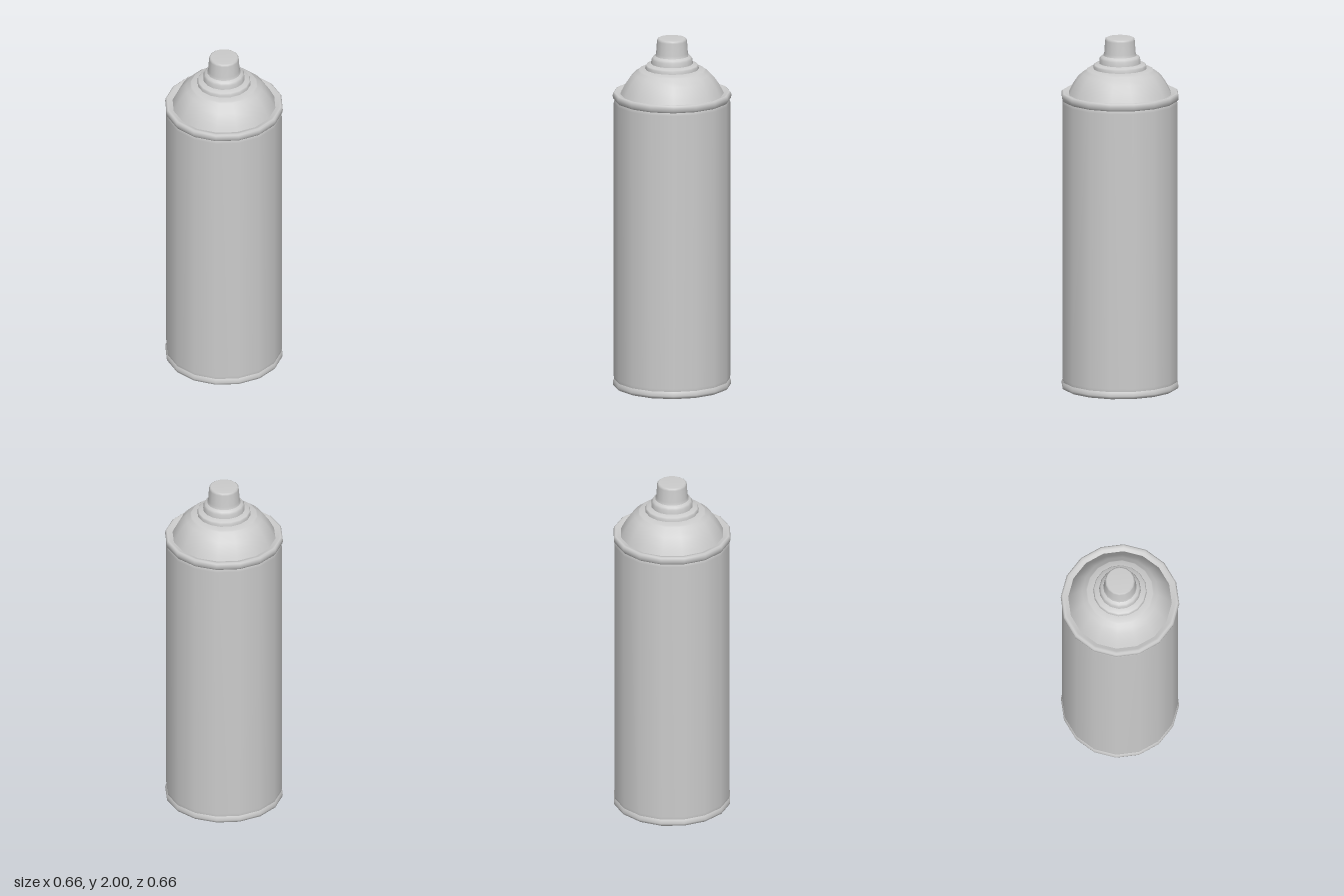
import * as THREE from 'three';

const SIDES = 16;
const material = new THREE.MeshStandardMaterial({ color: 0xcccccc });

// Turned part from [radius, height] pairs, listed so the surface faces outward
function turned(name, profile) {
  const points = profile.map(([r, y]) => new THREE.Vector2(r, y));
  const mesh = new THREE.Mesh(new THREE.LatheGeometry(points, SIDES), material);
  mesh.name = name;
  return mesh;
}

export function createModel() {
  const can = new THREE.Group();
  can.name = 'sprayCan';

  // Concave underside, from the centre out to the standing ring
  can.add(turned('base', [
    [0, 0.075], [0.1, 0.068], [0.2, 0.046], [0.27, 0.02], [0.305, 0.003], [0.318, 0],
  ]));

  // Rolled bottom seam
  can.add(turned('bottomRim', [
    [0.318, 0], [0.329, 0.007], [0.331, 0.018], [0.329, 0.032], [0.324, 0.042],
  ]));

  // Straight wall
  can.add(turned('body', [[0.324, 0.042], [0.326, 0.06], [0.326, 1.63], [0.322, 1.646]]));

  // Rolled top seam with a shallow gutter inside it
  can.add(turned('topRim', [
    [0.322, 1.646], [0.33, 1.656], [0.332, 1.672], [0.33, 1.686],
    [0.322, 1.692], [0.308, 1.688], [0.29, 1.682],
  ]));

  // Domed shoulder
  can.add(turned('shoulder', [
    [0.29, 1.682], [0.279, 1.705], [0.262, 1.737], [0.238, 1.772],
    [0.212, 1.798], [0.19, 1.812], [0.184, 1.82], [0.148, 1.825],
  ]));

  // Stepped valve cup
  can.add(turned('lowerCollar', [
    [0.15, 1.823], [0.149, 1.84], [0.144, 1.848], [0.117, 1.855],
  ]));
  can.add(turned('upperCollar', [
    [0.117, 1.853], [0.115, 1.88], [0.108, 1.892], [0.094, 1.9],
  ]));

  // Tapered push button
  can.add(turned('nozzle', [
    [0.094, 1.898], [0.089, 1.915], [0.084, 1.985], [0.081, 1.996], [0.074, 2], [0, 2],
  ]));

  return can;
}
